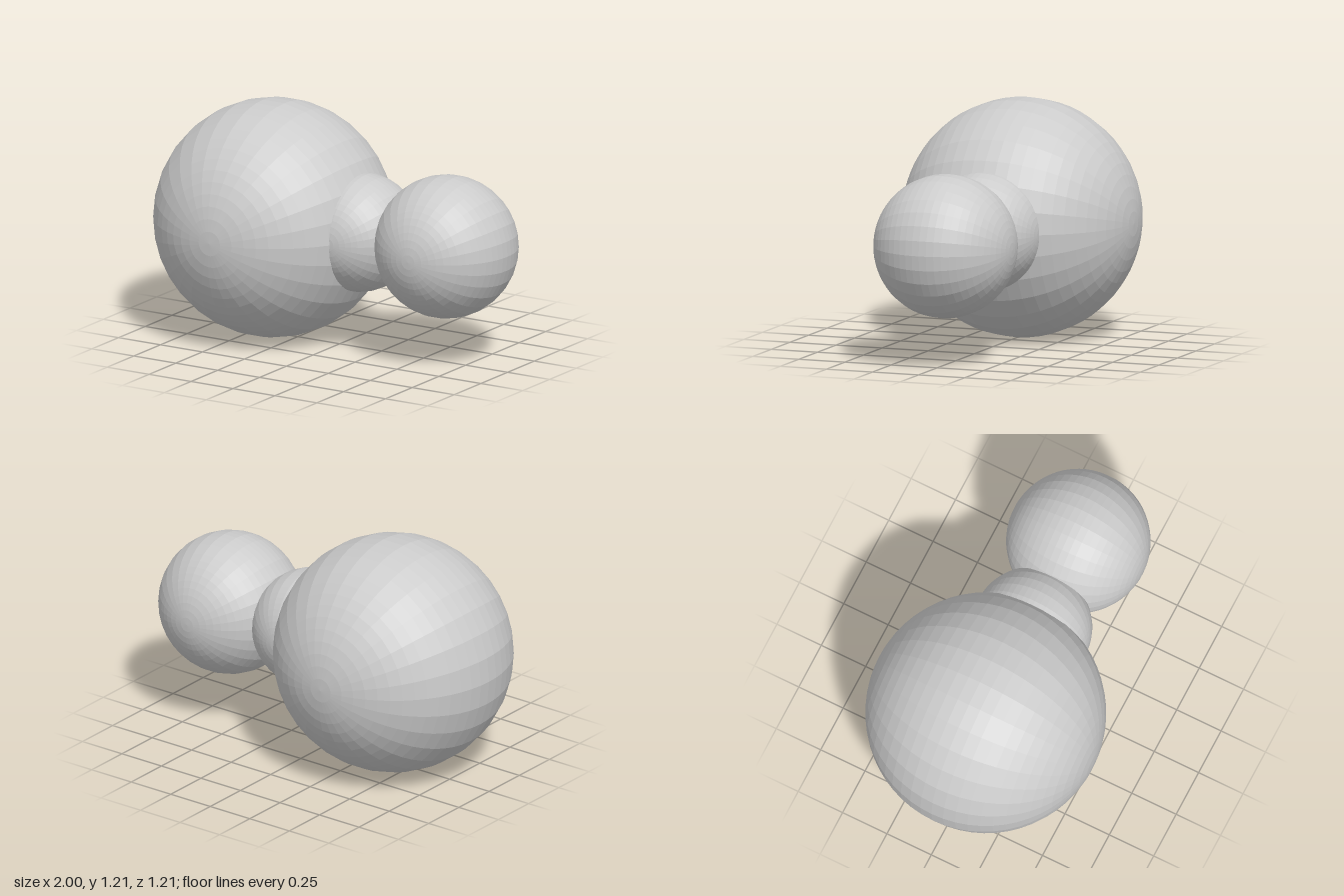
import * as THREE from 'three';

export function createModel() {
  const group = new THREE.Group();
  const material = new THREE.MeshStandardMaterial({ color: 0xcccccc, flatShading: true });
  const R = 2 / 3.3; // body radius; other sizes are fractions of it
  const sides = 30;
  const centreY = R * Math.cos(Math.PI / sides); // flat facet rests on the ground

  // Faceted ball with its poles along z
  function ball(name, radius, x) {
    const geometry = new THREE.SphereGeometry(radius, sides, sides).rotateX(Math.PI / 2);
    const mesh = new THREE.Mesh(geometry, material);
    mesh.name = name;
    mesh.position.set(x, centreY, 0);
    group.add(mesh);
  }

  const bodyX = -1 + R;
  ball('largeBall', R, bodyX);
  ball('connectingBall', 0.5 * R, bodyX + 0.85 * R);
  ball('smallBall', 0.6 * R, bodyX + 1.7 * R);

  return group;
}
